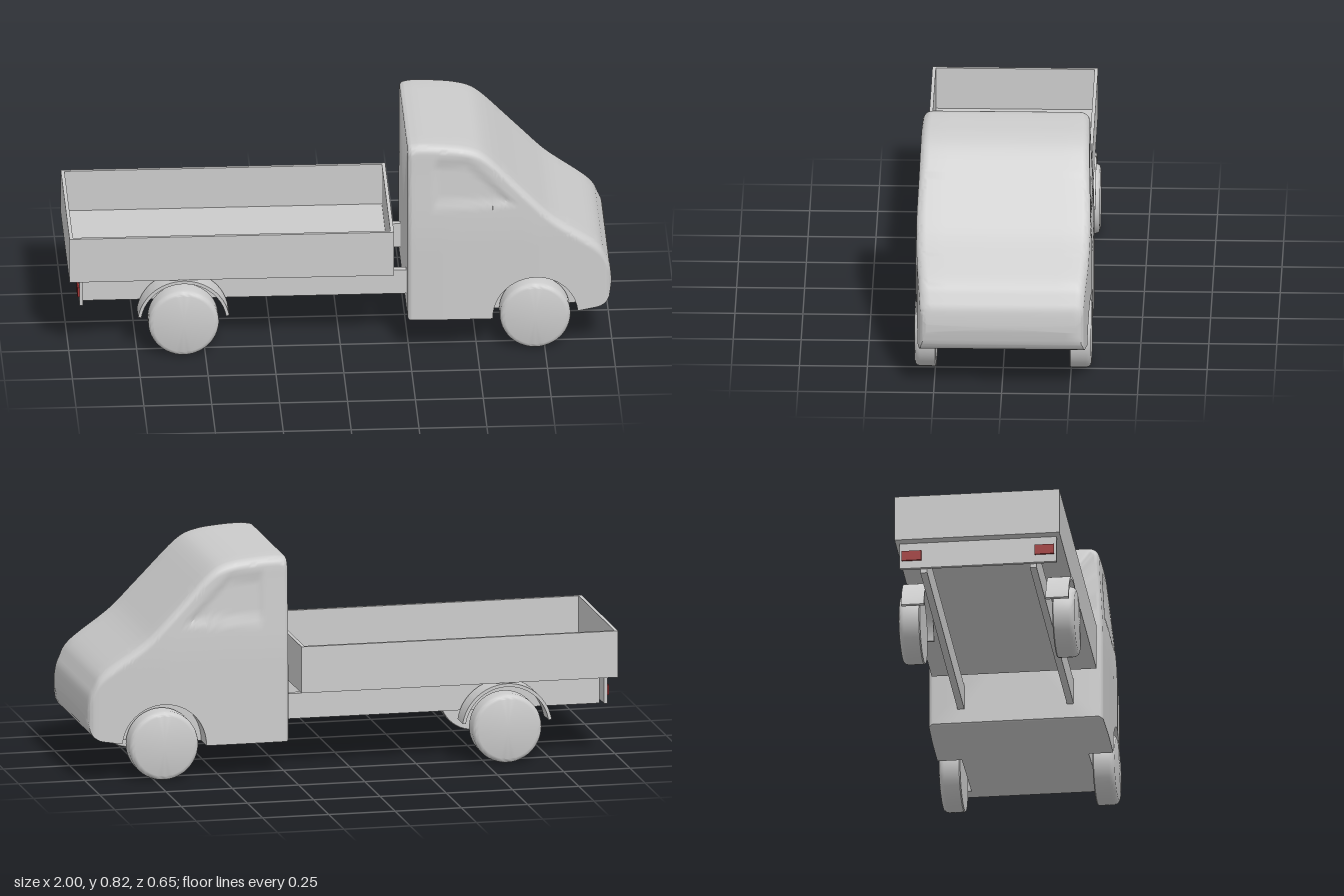
import * as THREE from 'three';
import { toCreasedNormals } from 'three/addons/utils/BufferGeometryUtils.js';

const grey = new THREE.MeshStandardMaterial({ color: 0xcccccc });
const red = new THREE.MeshStandardMaterial({ color: 0xa03030 });
const { smoothstep, clamp } = THREE.MathUtils;

function add(parent, name, geometry, material = grey) {
  const mesh = new THREE.Mesh(geometry, material);
  mesh.name = name;
  parent.add(mesh);
  return mesh;
}

// Box given by its minimum and maximum corners
function box(parent, name, x0, x1, y0, y1, z0, z1, material) {
  const mesh = add(parent, name, new THREE.BoxGeometry(x1 - x0, y1 - y0, z1 - z0), material);
  mesh.position.set((x0 + x1) / 2, (y0 + y1) / 2, (z0 + z1) / 2);
  return mesh;
}

// Piecewise linear lookup, and a softened version of it
function lookup(points, x) {
  let i = 1;
  while (i < points.length - 1 && x > points[i][0]) i++;
  const [x0, y0] = points[i - 1], [x1, y1] = points[i];
  return y0 + (y1 - y0) * clamp((x - x0) / (x1 - x0), 0, 1);
}
const BACK = 0.245, NOSE = 0.997;
function soft(points, x) {
  const h = Math.min(0.025, x - BACK, NOSE - x);
  return (lookup(points, x - h) + 2 * lookup(points, x) + lookup(points, x + h)) / 4;
}

const roofLine = [[BACK, 0.805], [0.25, 0.815], [0.262, 0.821], [0.34, 0.82], [0.44, 0.811], [0.51, 0.793],
  [0.56, 0.75], [0.66, 0.645], [0.77, 0.532], [0.82, 0.495], [0.92, 0.428], [0.96, 0.395],
  [0.98, 0.365], [0.99, 0.335], [NOSE, 0.27]];
const floorLine = [[BACK, 0.13], [0.25, 0.125], [0.55, 0.125], [0.86, 0.142], [0.95, 0.155],
  [0.975, 0.168], [0.988, 0.19], [NOSE, 0.24]];
const planLine = [[BACK, 0.322], [0.4, 0.326], [0.7, 0.325], [0.85, 0.315], [0.95, 0.305], [NOSE, 0.298]];
const wheelX = { front: 0.715, rear: -0.58 }, ARCH = 0.157;

// Half width of the cab: plan taper, leaning sides, rounded ends, sunken side window
function halfWidth(x, y) {
  let w = soft(planLine, x) - 0.016 * smoothstep(y, 0.42, 0.85);
  for (const [d, r] of [[x - BACK, 0.018], [NOSE - x, 0.025]])
    if (d < r) w -= r - Math.sqrt(r * r - (r - d) ** 2);
  const inside = Math.min(x - 0.335, y - 0.575, 0.765 - y, (1.235 - x - y) * 0.7);
  return w - 0.008 * smoothstep(inside, 0, 0.025);
}

// Half of a cab cross-section, from the roof centre down round to the floor centre
function cabSection(x) {
  const top = soft(roofLine, x), floor = lookup(floorLine, x);
  const dx = x - wheelX.front;
  const sill = Math.abs(dx) < ARCH ? Math.max(floor, 0.13 + Math.sqrt(ARCH * ARCH - dx * dx)) : floor;
  const r = Math.min(0.035, (top - sill) / 3);
  const half = [];
  const shoulder = halfWidth(x, top - r);
  for (let i = 0; i <= 4; i++) half.push([top, (shoulder - r) * i / 4]);
  for (let i = 1; i <= 6; i++) {
    const a = i / 6 * Math.PI / 2;
    half.push([top - r + r * Math.cos(a), shoulder - r + r * Math.sin(a)]);
  }
  for (let i = 1; i <= 30; i++) {
    const y = top - r + (sill - top + r) * i / 30;
    half.push([y, halfWidth(x, y)]);
  }
  half.push([sill, 0.235], [floor, 0.235], [floor, 0]);
  const other = half.slice(1, -1).reverse().map(([y, z]) => [y, -z]);
  return half.concat(other);
}

// Cab lofted along x, with extra stations at both ends and around the wheel arch
function cabGeometry() {
  const xs = [];
  for (let i = 0; i <= 60; i++) xs.push(BACK + 0.02 + (NOSE - BACK - 0.04) * i / 60);
  for (let i = 0; i < 8; i++) {
    const d = 0.02 * (1 - Math.cos(i / 8 * Math.PI / 2));
    xs.push(BACK + d, NOSE - d);
  }
  for (let i = 0; i <= 24; i++) xs.push(wheelX.front - (ARCH + 0.0005) * Math.cos(i / 24 * Math.PI));
  xs.sort((a, b) => a - b);

  const sections = xs.map(cabSection), n = sections[0].length;
  const position = [], index = [];
  sections.forEach((s, i) => s.forEach(([y, z]) => position.push(xs[i], y, z)));
  for (let i = 0; i < xs.length - 1; i++) {
    for (let j = 0; j < n; j++) {
      const a = i * n + j, b = i * n + (j + 1) % n;
      index.push(a, b, a + n, b, b + n, a + n);
    }
  }
  const last = (xs.length - 1) * n, centre = xs.length * n;
  position.push(BACK, 0.45, 0, NOSE, 0.255, 0);
  for (let j = 0; j < n; j++) {
    const k = (j + 1) % n;
    index.push(centre, k, j, centre + 1, last + j, last + k);
  }
  const geometry = new THREE.BufferGeometry();
  geometry.setAttribute('position', new THREE.Float32BufferAttribute(position, 3));
  geometry.setIndex(index);
  return toCreasedNormals(geometry, 0.65);
}

// Solid wheel with a rounded outer edge, axis along z
function wheelGeometry() {
  const profile = [[0, 0], [0.127, 0], [0.13, 0.004], [0.13, 0.06], [0.127, 0.07], [0.121, 0.077], [0.112, 0.08], [0, 0.08]];
  const lathe = new THREE.LatheGeometry(profile.map(([r, y]) => new THREE.Vector2(r, y)), 48);
  lathe.rotateX(Math.PI / 2);
  return toCreasedNormals(lathe, 0.6);
}

// Thin arched mudguard
function mudguardGeometry() {
  const shape = new THREE.Shape();
  const a = 0.16;
  shape.absarc(0, 0, 0.17, a, Math.PI - a, false);
  shape.absarc(0, 0, 0.158, Math.PI - a, a, true);
  const geometry = new THREE.ExtrudeGeometry(shape, { depth: 0.085, bevelEnabled: false, curveSegments: 24 });
  return toCreasedNormals(geometry, 0.6);
}

export function createModel() {
  const truck = new THREE.Group();
  truck.name = 'flatbedTruck';
  add(truck, 'cab', cabGeometry());

  // Open cargo bed
  const bed = new THREE.Group();
  bed.name = 'cargoBed';
  truck.add(bed);
  const x0 = -1, x1 = 0.195, w = 0.305, t = 0.013;
  box(bed, 'bedFloor', x0, x1, 0.3, 0.315, -w, w);
  box(bed, 'tailBoard', x0, x0 + t, 0.3, 0.475, -w, w);
  box(bed, 'headBoard', x1 - t, x1, 0.3, 0.475, -w, w);

  const wheel = wheelGeometry(), mudguard = mudguardGeometry();
  for (const side of [1, -1]) {
    const zBox = (parent, name, a, b, c, d, z0, z1, material) =>
      box(parent, name, a, b, c, d, Math.min(side * z0, side * z1), Math.max(side * z0, side * z1), material);
    zBox(bed, 'sideBoard', x0 + t, x1 - t, 0.3, 0.475, w - t, w);
    zBox(truck, 'chassisRail', -0.95, 0.26, 0.185, 0.28, 0.19, 0.215);
    zBox(truck, 'tailLight', -0.97, -0.96, 0.23, 0.268, 0.21, 0.282, red);

    // Wheels face outwards on both sides
    for (const [end, x] of Object.entries(wheelX)) {
      const mesh = add(truck, end + 'Wheel', wheel);
      mesh.position.set(x, 0.13, side * 0.245);
      if (side < 0) mesh.rotation.y = Math.PI;
    }
    const guard = add(truck, 'rearMudguard', mudguard);
    guard.position.set(wheelX.rear, 0.128, side > 0 ? 0.225 : -0.31);
  }

  // Rear panel carrying the lights
  box(truck, 'rearPanel', -0.963, -0.95, 0.2, 0.3, -0.29, 0.29);
  return truck;
}
